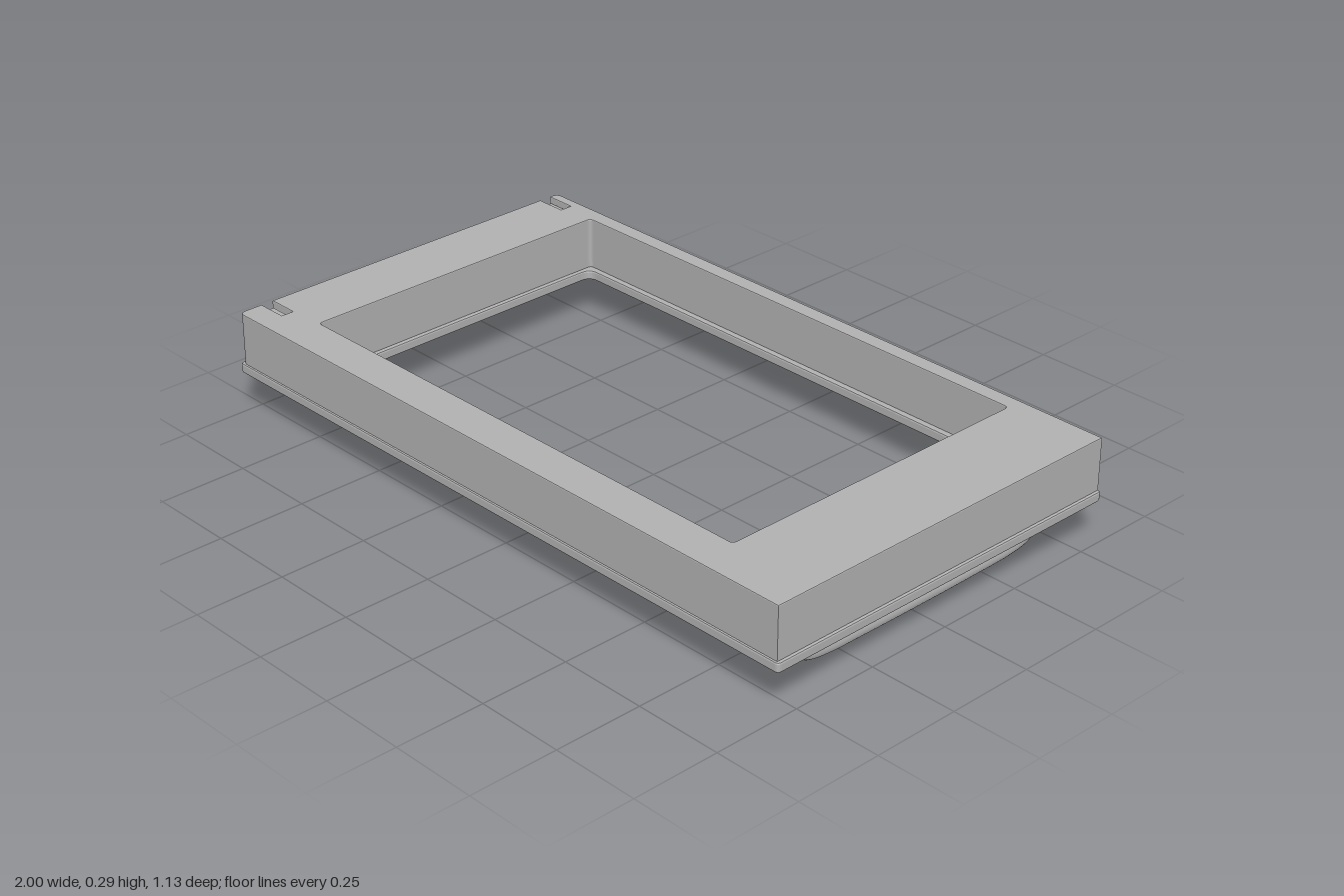
import * as THREE from 'three';

const steel = new THREE.MeshStandardMaterial({ color: 0xb2b2b2 });
steel.name = 'grey steel';

// Rounded rectangle traced in plan; plan y is -z.
function roundedRect(path, x0, x1, z0, z1, r) {
  const y0 = -z1, y1 = -z0;
  path.moveTo(x0 + r, y0);
  path.lineTo(x1 - r, y0);
  path.quadraticCurveTo(x1, y0, x1, y0 + r);
  path.lineTo(x1, y1 - r);
  path.quadraticCurveTo(x1, y1, x1 - r, y1);
  path.lineTo(x0 + r, y1);
  path.quadraticCurveTo(x0, y1, x0, y1 - r);
  path.lineTo(x0, y0 + r);
  path.quadraticCurveTo(x0, y0, x0 + r, y0);
  return path;
}

// Extrudes a plan shape upward between two heights, with a small edge bevel.
function slab(name, shape, y0, y1, bevel) {
  const geo = new THREE.ExtrudeGeometry(shape, {
    depth: y1 - y0 - 2 * bevel, bevelEnabled: true, bevelThickness: bevel,
    bevelSize: bevel, bevelOffset: -bevel, bevelSegments: 2, curveSegments: 6,
  });
  geo.rotateX(-Math.PI / 2).translate(0, y0 + bevel, 0);
  const mesh = new THREE.Mesh(geo, steel);
  mesh.name = name;
  return mesh;
}

// Sweeps a flattened, soft-cornered section along a curve lying in the yz plane.
function flatBar(curve, x, halfWidth, halfThick, steps, sides) {
  const pos = [], idx = [];
  const soft = (v) => Math.sign(v) * Math.abs(v) ** 0.6;
  for (let i = 0; i <= steps; i++) {
    const p = curve.getPointAt(i / steps), t = curve.getTangentAt(i / steps);
    for (let j = 0; j < sides; j++) {
      const a = (j / sides) * Math.PI * 2;
      const u = soft(Math.cos(a)) * halfWidth, v = soft(Math.sin(a)) * halfThick;
      pos.push(x + u, p.y + v * t.z, p.z - v * t.y);
      if (i < steps) {
        const k = i * sides, n = (j + 1) % sides;
        idx.push(k + j, k + sides + j, k + n, k + n, k + sides + j, k + sides + n);
      }
    }
  }
  const geo = new THREE.BufferGeometry();
  geo.setAttribute('position', new THREE.Float32BufferAttribute(pos, 3));
  // Wind the faces outward
  for (let i = 0; i < idx.length; i += 3) [idx[i + 1], idx[i + 2]] = [idx[i + 2], idx[i + 1]];
  geo.setIndex(idx);
  geo.computeVertexNormals();
  return geo;
}

export function createModel() {
  const door = new THREE.Group();
  door.name = 'windowedDoor';
  const hinges = [-0.512, 0.468];

  // Deep door body with two hinge slots cut into its left-hand plan edge
  const L = -0.994, R = 0.992, Z = 0.558, r = 0.02, slotEnd = -0.905, half = 0.018;
  const body = new THREE.Shape();
  body.moveTo(L + r, -Z);
  body.lineTo(R, -Z);
  body.lineTo(R, Z);
  body.lineTo(L + r, Z);
  body.quadraticCurveTo(L, Z, L, Z - r);
  for (const z of hinges) {
    body.lineTo(L, -z + half);
    body.lineTo(slotEnd, -z + half);
    body.lineTo(slotEnd, -z - half);
    body.lineTo(L, -z - half);
  }
  body.lineTo(L, -Z + r);
  body.quadraticCurveTo(L, -Z, L + r, -Z);
  body.holes.push(roundedRect(new THREE.Path(), -0.802, 0.732, -0.512, 0.442, 0.012));
  door.add(slab('doorBody', body, 0.146, 0.295, 0.003));

  // Face panel, whose window opening leaves a narrow lip
  const face = roundedRect(new THREE.Shape(), -1, 1, -0.563, 0.563, 0.012);
  face.holes.push(roundedRect(new THREE.Path(), -0.79, 0.712, -0.496, 0.43, 0.03));
  door.add(slab('facePanel', face, 0.12, 0.148, 0.005));

  // Hinge tongues standing in the slots
  for (const z of hinges) {
    const tongue = new THREE.Mesh(new THREE.BoxGeometry(0.07, 0.137, 0.013), steel);
    tongue.position.set(-0.94, 0.2145, z);
    tongue.name = 'hingeTongue';
    door.add(tongue);
  }

  // Bowed handle below the face panel
  const profile = [[-0.46, 0.13], [-0.453, 0.105], [-0.425, 0.065], [-0.385, 0.036],
    [-0.33, 0.025], [-0.18, 0.021], [0, 0.02]];
  const mirrored = profile.slice(0, -1).reverse().map(([z, y]) => [-z, y]);
  const path = new THREE.CatmullRomCurve3(
    [...profile, ...mirrored].map(([z, y]) => new THREE.Vector3(0, y, z - 0.025)));
  const handle = new THREE.Mesh(flatBar(path, 0.862, 0.043, 0.02, 64, 24), steel);
  handle.name = 'handle';
  door.add(handle);

  return door;
}
